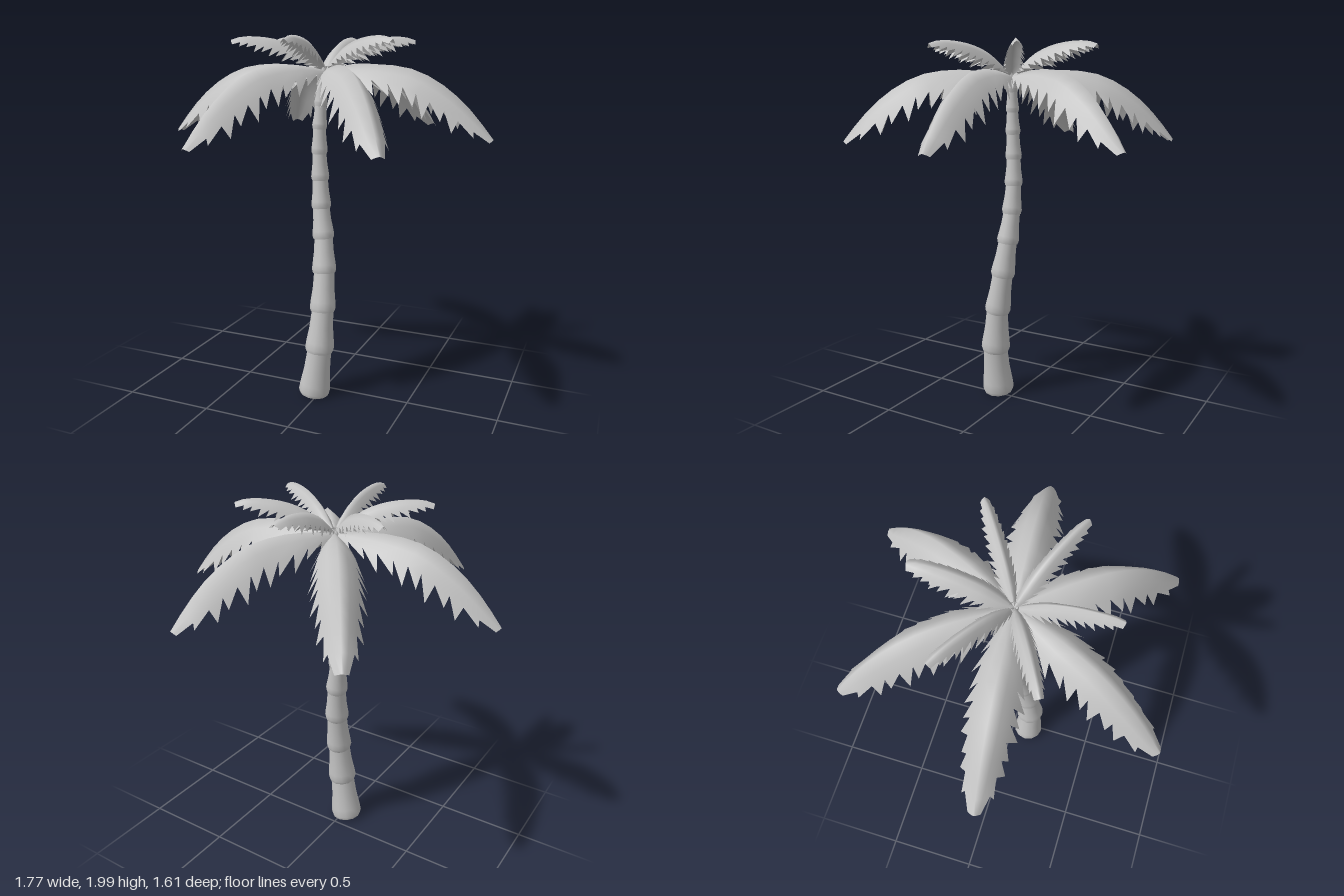
import * as THREE from 'three';

const grey = new THREE.MeshStandardMaterial({ color: 0xc4c4c4, side: THREE.DoubleSide });
grey.name = 'plain grey';

// Piecewise-linear lookup in a list of [position, value]
function ramp(list, u) {
  for (let i = 1; i < list.length; i++) {
    const [a, va] = list[i - 1], [b, vb] = list[i];
    if (u <= b) return va + (vb - va) * (u - a) / (b - a);
  }
  return list[list.length - 1][1];
}

// Trunk joints: centre x, y, z and radius of each collar
const JOINTS = [
  [-0.025, 0.015, 0.102, 0.09], [0.008, 0.275, 0.102, 0.082], [0.02, 0.51, 0.082, 0.073],
  [0.016, 0.725, 0.05, 0.068], [0.002, 0.915, 0.025, 0.061], [-0.018, 1.082, 0.01, 0.055],
  [-0.027, 1.238, 0.003, 0.05], [-0.031, 1.383, 0.005, 0.045], [-0.029, 1.518, 0.008, 0.041],
  [-0.023, 1.638, 0.008, 0.036], [-0.014, 1.745, 0.004, 0.032], [-0.003, 1.84, 0, 0.026],
];

function buildTrunk() {
  const trunk = new THREE.Group();
  trunk.name = 'trunk';
  for (let i = 0; i < JOINTS.length - 1; i++) {
    const a = new THREE.Vector3(...JOINTS[i]), b = new THREE.Vector3(...JOINTS[i + 1]);
    const r = JOINTS[i][3], rTop = JOINTS[i + 1][3] * 0.83;
    const axis = b.clone().sub(a), len = axis.length();
    // Underside, flared collar, then a taper up into the next collar
    const profile = [[i === 0 ? 0 : r * 0.75, 0.004], [r * 0.92, 0], [r * 0.92, 0], [r, 0.02],
      [r * 0.96, len * 0.25], [(r * 0.9 + rTop) / 2, len * 0.6], [rTop, len + 0.008]];
    const geo = new THREE.LatheGeometry(profile.map(p => new THREE.Vector2(...p)), 12);
    const mesh = new THREE.Mesh(geo, grey);
    mesh.name = 'trunkSegment';
    mesh.position.copy(a);
    mesh.quaternion.setFromUnitVectors(new THREE.Vector3(0, 1, 0), axis.normalize());
    trunk.add(mesh);
  }
  return trunk;
}

// An arched leaf along +x: smooth folded sheet with long teeth pointing to the tip
function frondGeometry({ ridge, width, drop, teeth, notch }) {
  const curve = new THREE.CatmullRomCurve3(ridge.map(([x, y]) => new THREE.Vector3(x, y, 0)));
  const columns = [-1, -0.5, 0, 0.5, 1].map(c => c * notch);
  const pos = [], index = [];
  const addPoint = (u, f) => {
    u = Math.min(u, 1);
    const p = curve.getPointAt(u), t = curve.getTangentAt(u);
    const down = ramp(drop, u) * Math.pow(Math.abs(f), 1.2);
    const side = ramp(width, u) * Math.sin(f * 0.9) / Math.sin(0.9);
    pos.push(p.x + t.y * down, p.y - t.x * down, side);
    return pos.length / 3 - 1;
  };
  const n = columns.length;
  for (let i = 0; i <= teeth; i++) for (const f of columns) addPoint(i / teeth, f);
  for (let i = 0; i < teeth; i++) {
    const row = i * n, next = row + n;
    for (let j = 0; j < n - 1; j++) {
      index.push(row + j, row + j + 1, next + j, row + j + 1, next + j + 1, next + j);
    }
    const tipU = (i + 1.3) / teeth, reach = i % 2 ? 0.94 : 1.06;
    index.push(row, next, addPoint(tipU, -reach));
    index.push(row + n - 1, addPoint(tipU, reach), next + n - 1);
  }
  const geo = new THREE.BufferGeometry();
  geo.setAttribute('position', new THREE.Float32BufferAttribute(pos, 3));
  geo.setIndex(index);
  geo.computeVertexNormals();
  return geo;
}

function addFronds(parent, name, geo, headings) {
  for (const [deg, widen] of headings) {
    const frond = new THREE.Mesh(geo, grey);
    frond.name = name;
    frond.rotation.y = THREE.MathUtils.degToRad(deg);
    frond.scale.z = widen;
    parent.add(frond);
  }
}

export function createModel() {
  const model = new THREE.Group();
  model.name = 'palmTree';
  model.add(buildTrunk());

  const crown = new THREE.Group();
  crown.name = 'crown';
  model.add(crown);

  // Long drooping outer leaves
  const large = frondGeometry({
    ridge: [[0, 1.825], [0.13, 1.848], [0.3, 1.858], [0.47, 1.835], [0.6, 1.775], [0.72, 1.685], [0.81, 1.59], [0.89, 1.49]],
    width: [[0, 0.015], [0.1, 0.07], [0.25, 0.13], [0.6, 0.135], [0.85, 0.1], [0.95, 0.075], [1, 0.03]],
    drop: [[0, 0.02], [0.12, 0.08], [0.35, 0.16], [0.65, 0.17], [0.85, 0.12], [0.95, 0.06], [1, 0.02]],
    teeth: 11,
    notch: 0.62,
  });
  addFronds(crown, 'outerFrond', large,
    [[4.5, 1], [64, 1], [125, 1], [185, 1], [246, 1], [308, 1]]);

  // Short upright inner leaves
  const small = frondGeometry({
    ridge: [[0, 1.825], [0.06, 1.88], [0.14, 1.94], [0.24, 1.98], [0.36, 1.998], [0.44, 1.995], [0.49, 1.98]],
    width: [[0, 0.01], [0.15, 0.05], [0.35, 0.06], [0.7, 0.055], [0.92, 0.04], [1, 0.025]],
    drop: [[0, 0.01], [0.2, 0.06], [0.45, 0.095], [0.75, 0.08], [0.93, 0.045], [1, 0.025]],
    teeth: 12,
    notch: 0.6,
  });
  addFronds(crown, 'innerFrond', small,
    [[90, 1.3], [33, 0.9], [149, 0.9], [209, 0.9], [270, 0.9], [334, 0.9]]);
  return model;
}
